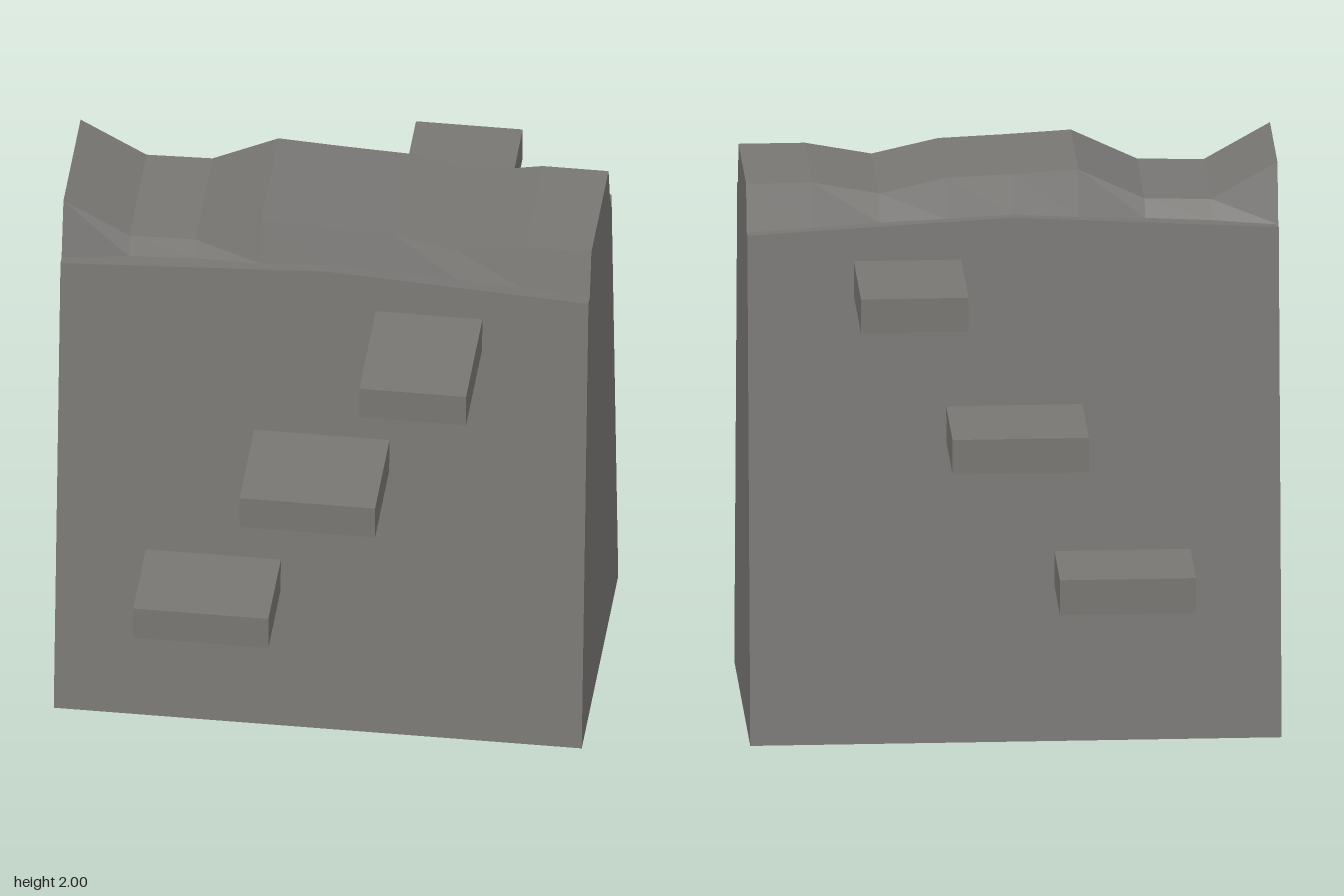
import * as THREE from 'three';

const HALF = 0.92;

// Closed, flat-faced solid through four-sided sections along x.
// Each section: { x, lo: [z, y], hi: [z, y] }, mirrored in z.
function loft(sections) {
  const rings = sections.map(({ x, lo, hi }) => [
    [x, lo[1], lo[0]], [x, lo[1], -lo[0]], [x, hi[1], -hi[0]], [x, hi[1], hi[0]],
  ]);
  const pos = [];
  const quad = (a, b, c, d) => pos.push(...a, ...b, ...c, ...a, ...c, ...d);
  for (let i = 0; i < rings.length - 1; i++) {
    const r = rings[i], s = rings[i + 1];
    for (let j = 0; j < 4; j++) {
      const k = (j + 1) % 4;
      quad(r[j], r[k], s[k], s[j]);
    }
  }
  const first = rings[0], last = rings[rings.length - 1];
  quad(first[3], first[2], first[1], first[0]);
  quad(last[0], last[1], last[2], last[3]);
  const geo = new THREE.BufferGeometry();
  geo.setAttribute('position', new THREE.Float32BufferAttribute(pos, 3));
  geo.computeVertexNormals();
  return geo;
}

export function createModel() {
  const group = new THREE.Group();
  const stone = new THREE.MeshStandardMaterial({ color: 0x787673 });
  stone.name = 'grey stone';

  const add = (name, geo) => {
    const mesh = new THREE.Mesh(geo, stone);
    mesh.name = name;
    group.add(mesh);
    return mesh;
  };

  // Tapered wall, with a shoulder that peaks in the middle
  const shoulderY = (x) => 1.79 + 0.048 * (1 - Math.abs(x) / HALF);
  const wallZ = (y) => 0.498 - 0.1022 * y;
  add('wall', loft([-HALF, 0, HALF].map((x) => {
    const y = shoulderY(x);
    return { x, lo: [wallZ(0), 0], hi: [wallZ(y), y] };
  })));

  // Broken, uneven crest set in from the shoulder
  const crestY = [2, 1.87, 1.876, 1.985, 1.972, 1.962, 1.91, 1.953, 1.953];
  add('crest', loft(crestY.map((top, i) => {
    const x = -HALF + (i * 2 * HALF) / 8;
    const y = shoulderY(x);
    return { x, lo: [0.25 + 0.17 * (top - y), y], hi: [0.234, top] };
  })));

  // Protruding steps climbing both faces: [x0, x1, y0, y1]
  const steps = [
    [-0.608, -0.137, 0.54, 0.666],
    [-0.237, 0.235, 1.055, 1.18],
    [0.18, 0.552, 1.571, 1.694],
  ];
  const outer = 0.773;
  for (const [x0, x1, y0, y1] of steps) {
    const inner = wallZ(y1) - 0.03;
    for (const side of [1, -1]) {
      const step = add(side > 0 ? 'frontStep' : 'backStep',
        new THREE.BoxGeometry(x1 - x0, y1 - y0, outer - inner));
      step.position.set((x0 + x1) / 2, (y0 + y1) / 2, (side * (outer + inner)) / 2);
    }
  }
  return group;
}
